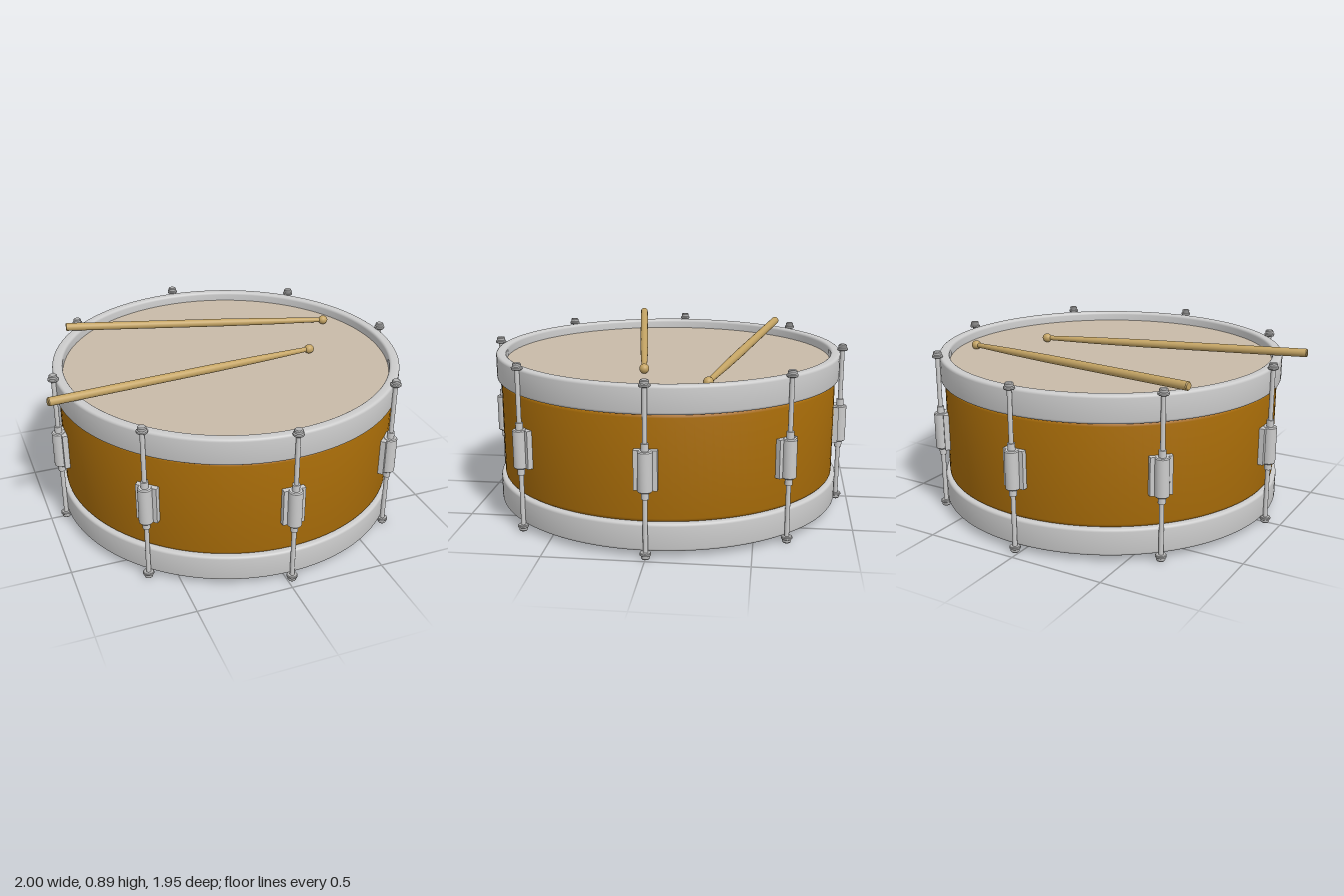
import * as THREE from 'three';
import { toCreasedNormals } from 'three/addons/utils/BufferGeometryUtils.js';

const metal = new THREE.MeshStandardMaterial({ color: 0xcccccc });
const darkMetal = new THREE.MeshStandardMaterial({ color: 0xb4b4b4 });
const shellMat = new THREE.MeshStandardMaterial({ color: 0xa86c08 });
const skinMat = new THREE.MeshStandardMaterial({ color: 0xc8baa8 });
const wood = new THREE.MeshStandardMaterial({ color: 0xc4a464 });

const CENTER_X = 0.024, MID_Y = 0.436, ROD_R = 0.94;

// Revolve [radius, height] pairs with sharp hard edges.
// Creasing is done at 100x because it merges points on a coarse grid.
function lathe(points, segments) {
  const g = new THREE.LatheGeometry(points.map(([r, y]) => new THREE.Vector2(r, y)), segments);
  return toCreasedNormals(g.scale(100, 100, 100), 0.6).scale(0.01, 0.01, 0.01);
}

function add(parent, name, geometry, material, x = 0, y = 0, z = 0) {
  const mesh = new THREE.Mesh(geometry, material);
  mesh.name = name;
  mesh.position.set(x, y, z);
  parent.add(mesh);
  return mesh;
}

// Rounded corner: quarter arc of [radius, height] pairs around (r, y)
function arc(r, y, radius, startDeg, steps = 4) {
  return Array.from({ length: steps + 1 }, (_, i) => {
    const a = THREE.MathUtils.degToRad(startDeg + (90 * i) / steps);
    return [r + radius * Math.cos(a), y + radius * Math.sin(a)];
  });
}

// Tension rod with its end knobs and the lug holding it; outward is +x
function createLug() {
  const lug = new THREE.Group();
  lug.name = 'tensionLug';
  add(lug, 'tensionRod', new THREE.CylinderGeometry(0.012, 0.012, 0.83, 16), metal, ROD_R, MID_Y);
  const knob = lathe([[0, 0], [0.025, 0], [0.028, 0.004], [0.028, 0.012], [0.022, 0.016],
    [0.022, 0.028], [0.018, 0.033], [0, 0.033]], 20);
  add(lug, 'topKnob', knob, darkMetal, ROD_R, MID_Y + 0.402);
  add(lug, 'bottomKnob', knob, darkMetal, ROD_R, MID_Y - 0.402).rotation.x = Math.PI;
  add(lug, 'lugPlate', new THREE.BoxGeometry(0.04, 0.196, 0.114), metal, 0.912, MID_Y);
  add(lug, 'lugBarrel', lathe([[0, -0.1], [0.031, -0.1], [0.036, -0.095], [0.036, 0.095],
    [0.031, 0.1], [0, 0.1]], 24), metal, ROD_R, MID_Y);
  for (const s of [-1, 1]) {
    add(lug, 'rodCollar', new THREE.CylinderGeometry(0.019, 0.019, 0.036, 16), metal,
      ROD_R, MID_Y + s * 0.117);
  }
  return lug;
}

// Tapered stick with a bead tip, running from butt to tip
function createStick(butt, tip) {
  const dir = tip.clone().sub(butt);
  const len = dir.length();
  const stick = new THREE.Group();
  stick.name = 'drumstick';
  add(stick, 'stickShaft', lathe([[0, 0], [0.018, 0], [0.022, 0.005], [0.022, len * 0.6],
    [0.019, len * 0.8], [0.013, len - 0.02], [0.012, len]], 24), wood);
  add(stick, 'stickTip', new THREE.SphereGeometry(0.025, 24, 16), wood, 0, len).scale.y = 1.1;
  stick.position.copy(butt);
  stick.quaternion.setFromUnitVectors(new THREE.Vector3(0, 1, 0), dir.normalize());
  return stick;
}

export function createModel() {
  const model = new THREE.Group();
  model.name = 'snareDrum';
  const drum = new THREE.Group();
  drum.name = 'drum';
  drum.position.x = CENTER_X;
  model.add(drum);

  // Shell with softened edges
  add(drum, 'shell', lathe([[0, 0.17], ...arc(0.886, 0.19, 0.02, -90),
    ...arc(0.886, 0.682, 0.02, 0), [0, 0.702]], 128), shellMat);

  // Hoops, closed rings with rounded rims
  const half = 0.07, c = 0.014;
  const profile = [
    ...arc(0.928 - c, -half + c, c, -90), ...arc(0.928 - c, half - c, c, 0),
    ...arc(0.875 + c, half - c, c, 90), ...arc(0.875 + c, -half + c, c, 180),
  ];
  const hoop = lathe([...profile, profile[0]], 128);
  add(drum, 'topHoop', hoop, metal, 0, MID_Y + 0.334);
  add(drum, 'bottomHoop', hoop, metal, 0, MID_Y - 0.334);

  // Drum heads set inside the hoops
  const head = new THREE.CylinderGeometry(0.88, 0.88, 0.012, 128);
  add(drum, 'topHead', head, skinMat, 0, 0.784);
  add(drum, 'bottomHead', head, skinMat, 0, 0.096);

  // Eight lugs around the shell
  for (let i = 0; i < 8; i++) {
    const lug = createLug();
    lug.rotation.y = (i * Math.PI) / 4;
    drum.add(lug);
  }

  // Two sticks lying across the top rim
  model.add(createStick(new THREE.Vector3(-0.997, 0.869, 0.277), new THREE.Vector3(0.49, 0.815, 0.067)));
  model.add(createStick(new THREE.Vector3(-0.725, 0.869, -0.577), new THREE.Vector3(0.74, 0.815, -0.273)));
  return model;
}
